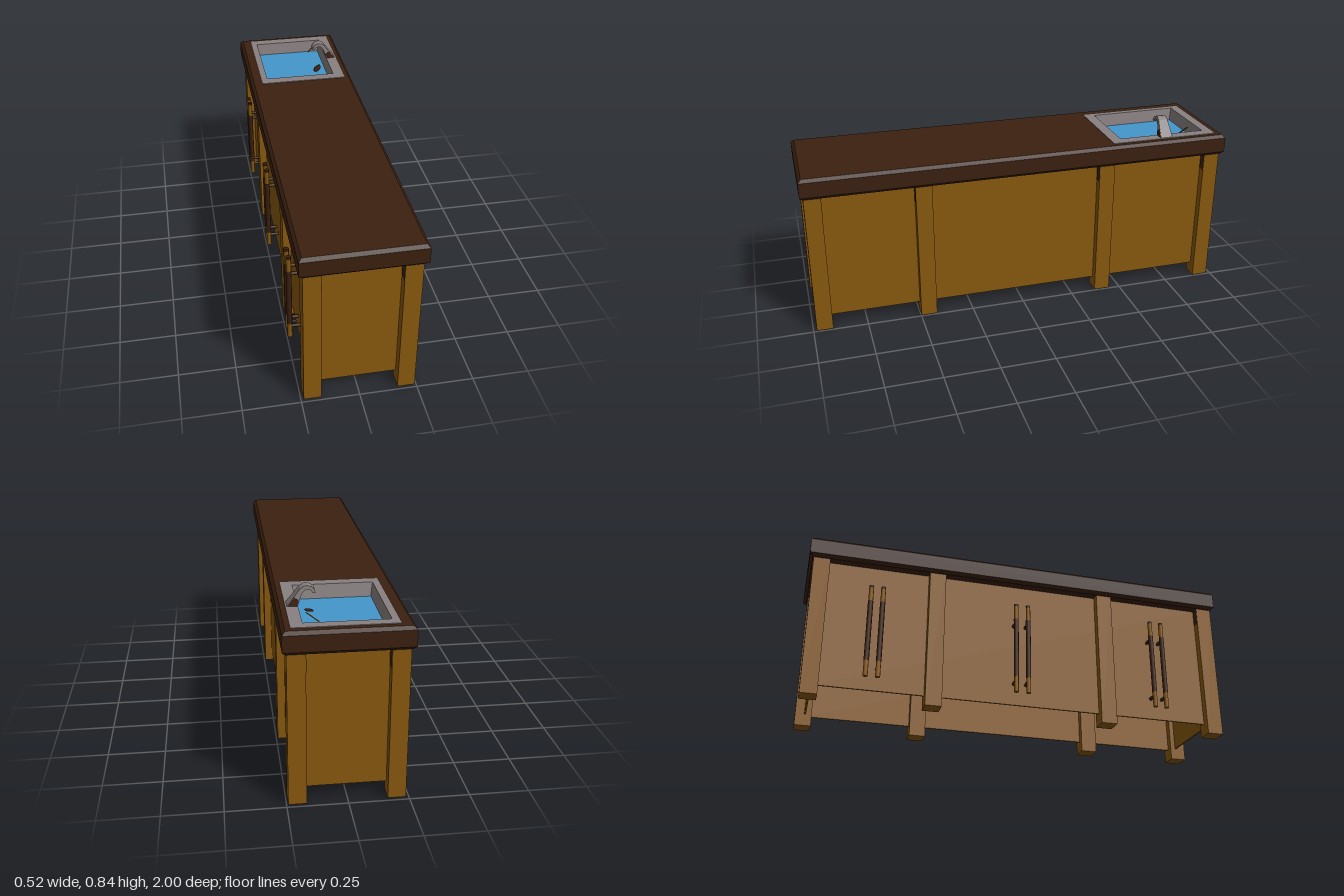
import * as THREE from 'three';

const mat = (name, color, extra = {}) => Object.assign(new THREE.MeshStandardMaterial({ color, ...extra }), { name });

export function createModel() {
  const model = new THREE.Group();
  model.name = 'sinkCounter';
  const wood = mat('goldenWood', 0x89590f);
  const dark = mat('darkWood', 0x3b200f);
  const steel = mat('steel', 0x898080, { side: THREE.DoubleSide });
  const water = mat('water', 0x4496cb);

  const add = (name, geometry, material, parent = model) => {
    const m = new THREE.Mesh(geometry, material);
    m.name = name;
    parent.add(m);
    return m;
  };
  // Box given by its two opposite corners
  const box = (name, a, b, material, parent) => {
    const g = new THREE.BoxGeometry(b[0] - a[0], b[1] - a[1], b[2] - a[2]);
    g.translate((a[0] + b[0]) / 2, (a[1] + b[1]) / 2, (a[2] + b[2]) / 2);
    return add(name, g, material, parent);
  };
  const rect = (target, x0, x1, z0, z1) => {
    target.moveTo(x0, -z1).lineTo(x1, -z1).lineTo(x1, -z0).lineTo(x0, -z0).closePath();
    return target;
  };

  // Countertop: chamfered slab with a cut-out for the basin
  const bevel = 0.014, top = 0.757, under = 0.66;
  const slab = rect(new THREE.Shape(), -0.241, 0.246, -0.986, 0.986);
  slab.holes.push(rect(new THREE.Path(), -0.19, 0.195, -0.94, -0.475));
  const slabGeo = new THREE.ExtrudeGeometry(slab, {
    depth: top - under - 2 * bevel, bevelThickness: bevel, bevelSize: bevel, bevelSegments: 1,
  });
  slabGeo.rotateX(-Math.PI / 2).translate(0, under + bevel, 0);
  add('countertop', slabGeo, dark);
  box('basinUnderside', [-0.2, under + 0.001, -0.95], [0.205, under + 0.008, -0.465], dark);

  // Sink: rim and sloping walls from stacked rectangular loops [x0, x1, z0, z1, y]
  const loops = [
    [-0.2, 0.225, -0.963, -0.445, 0.755],
    [-0.2, 0.225, -0.963, -0.445, 0.76],
    [-0.17, 0.174, -0.918, -0.496, 0.76],
    [-0.16, 0.164, -0.908, -0.51, 0.69],
  ].map(([x0, x1, z0, z1, y]) => [[x0, y, z1], [x1, y, z1], [x1, y, z0], [x0, y, z0]]);
  const pos = [];
  for (let i = 0; i < loops.length - 1; i++) {
    for (let k = 0; k < 4; k++) {
      const n = (k + 1) % 4, a = loops[i][k], b = loops[i][n], c = loops[i + 1][n], d = loops[i + 1][k];
      pos.push(...a, ...b, ...c, ...a, ...c, ...d);
    }
  }
  const sink = new THREE.BufferGeometry();
  sink.setAttribute('position', new THREE.Float32BufferAttribute(pos, 3));
  sink.computeVertexNormals();
  add('sinkBasin', sink, steel);
  box('water', [-0.163, 0.69, -0.911], [0.167, 0.7, -0.507], water);

  // Tap: hooked profile, narrower towards the top
  const tapGeo = (points, extra) => {
    const shape = new THREE.Shape(points.map(([x, y]) => new THREE.Vector2(x, y)));
    const g = new THREE.ExtrudeGeometry(shape, { depth: 1, bevelEnabled: false });
    const p = g.attributes.position;
    for (let i = 0; i < p.count; i++) {
      const half = THREE.MathUtils.mapLinear(p.getY(i), 0.757, 0.842, 0.03, 0.021) + extra;
      p.setZ(i, -0.713 + (p.getZ(i) * 2 - 1) * half);
    }
    g.computeVertexNormals();
    return g;
  };
  add('tap', tapGeo([
    [0.175, 0.755], [0.222, 0.755], [0.189, 0.797], [0.164, 0.83], [0.15, 0.839], [0.136, 0.842],
    [0.118, 0.836], [0.106, 0.825], [0.102, 0.81], [0.113, 0.81], [0.12, 0.821], [0.136, 0.827],
    [0.149, 0.82], [0.162, 0.8],
  ], 0), steel);
  add('tapBaseSides', tapGeo([[0.177, 0.757], [0.218, 0.757], [0.188, 0.795], [0.17, 0.783]], 0.001), dark);

  // Utensils resting in the sink
  const stick = add('utensilHandle', new THREE.BoxGeometry(0.07, 0.004, 0.008), wood);
  stick.position.set(0.127, 0.752, -0.845);
  stick.rotation.set(0, 0.25, 0.7);
  const spoon = add('spoonBowl', new THREE.SphereGeometry(1, 10, 6), dark);
  spoon.scale.set(0.018, 0.004, 0.03);
  spoon.position.set(0.122, 0.712, -0.668);
  spoon.rotation.set(0.3, -0.5, 0.3);

  // Legs, with dark patches high on the inner faces
  const sides = [{ s: -1, x0: -0.238, x1: -0.163 }, { s: 1, x0: 0.168, x1: 0.243 }];
  for (const { s, x0, x1 } of sides) {
    const mid = s > 0 ? 0.423 : 0.375;
    for (const z0 of [-0.982, -0.447, mid, 0.91]) {
      const z1 = z0 + 0.075, end = Math.abs(z0) > 0.8;
      const leg = new THREE.Group();
      leg.name = 'leg';
      model.add(leg);
      box('legPost', [x0, 0, z0], [x1, under + 0.005, z1], wood, leg);
      const zf = z0 > 0.8 ? z0 : z1;
      box('legTopPatch', [x0 + 0.002, 0.58, zf - 0.001], [x1 - 0.002, under, zf + 0.001], dark, leg);
      if (end) {
        const xf = s > 0 ? x0 : x1;
        box('legTopPatch', [xf - 0.001, 0.58, z0 + 0.002], [xf + 0.001, under, z1 - 0.002], dark, leg);
      }
    }
  }

  // Cabinet walls, recessed between the legs and open underneath
  for (const x of [-0.198, 0.204]) {
    box('sidePanel', [x - 0.004, 0.055, -0.935], [x + 0.004, under + 0.004, 0.935], wood);
  }
  for (const z of [-0.937, 0.937]) {
    box('endPanel', [-0.2, 0.055, z - 0.004], [0.205, under + 0.004, z + 0.004], wood);
  }

  // Pairs of long door handles
  const rod = (name, r, y0, y1, material, parent) =>
    add(name, new THREE.CylinderGeometry(r, r, y1 - y0, 8).translate(0, (y0 + y1) / 2, 0), material, parent);
  for (const z of [-0.714, -0.66, -0.036, 0.022, 0.642, 0.698]) {
    const handle = new THREE.Group();
    handle.name = 'doorHandle';
    handle.position.set(-0.25, 0, z);
    model.add(handle);
    rod('handleBar', 0.011, 0.1, 0.53, wood, handle);
    rod('handleGrip', 0.012, 0.175, 0.465, dark, handle);
    rod('handleCap', 0.011, 0.53, 0.542, dark, handle);
    for (const y of [0.157, 0.45]) {
      const mount = add('handleMount', new THREE.CylinderGeometry(0.008, 0.008, 0.06, 8), dark, handle);
      mount.rotation.z = Math.PI / 2;
      mount.position.set(0.03, y, 0);
    }
  }
  return model;
}
